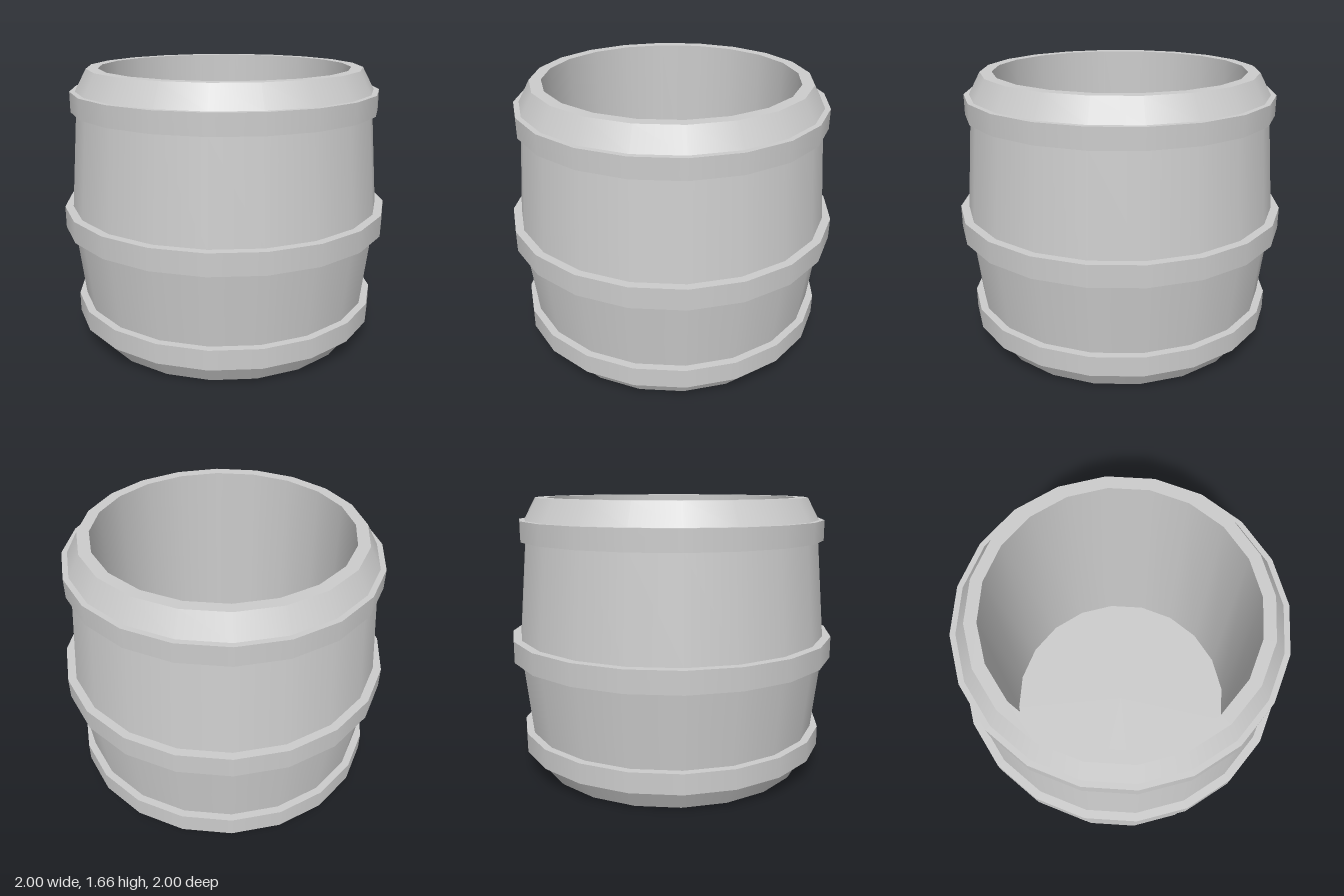
import * as THREE from 'three';
import { mergeGeometries } from 'three/addons/utils/BufferGeometryUtils.js';

const SIDES = 20;
const material = new THREE.MeshStandardMaterial({ color: 0xcccccc });

// Turned part: smooth around the axis, sharp at every profile corner
function turned(name, profile) {
  const strips = [];
  for (let i = 0; i < profile.length - 1; i++) {
    const pair = [profile[i], profile[i + 1]].map(([r, y]) => new THREE.Vector2(r, y));
    strips.push(new THREE.LatheGeometry(pair, SIDES));
  }
  const mesh = new THREE.Mesh(mergeGeometries(strips), material);
  mesh.name = name;
  return mesh;
}

// Hoop around the barrel, with flat upper and lower faces
function hoop(name, inner, outer, bottom, top) {
  return turned(name, [[inner, bottom], [outer, bottom], [outer, top], [inner, top]]);
}

export function createModel() {
  const group = new THREE.Group();
  group.name = 'barrel';

  // Bulging open barrel: underside, outer wall, rim, inner wall, floor
  group.add(turned('barrelBody', [
    [0, 0], [0.83, 0], [0.9, 0.13], [0.9, 0.25], [0.95, 0.7], [0.95, 0.83],
    [0.9, 1.41], [0.9, 1.53], [0.83, 1.66], [0.76, 1.66], [0.76, 0.08], [0, 0.08],
  ]));

  // Three hoops
  group.add(hoop('lowerHoop', 0.9, 0.945, 0.13, 0.25));
  group.add(hoop('middleHoop', 0.95, 1, 0.7, 0.83));
  group.add(hoop('upperHoop', 0.9, 0.932, 1.41, 1.53));

  return group;
}
